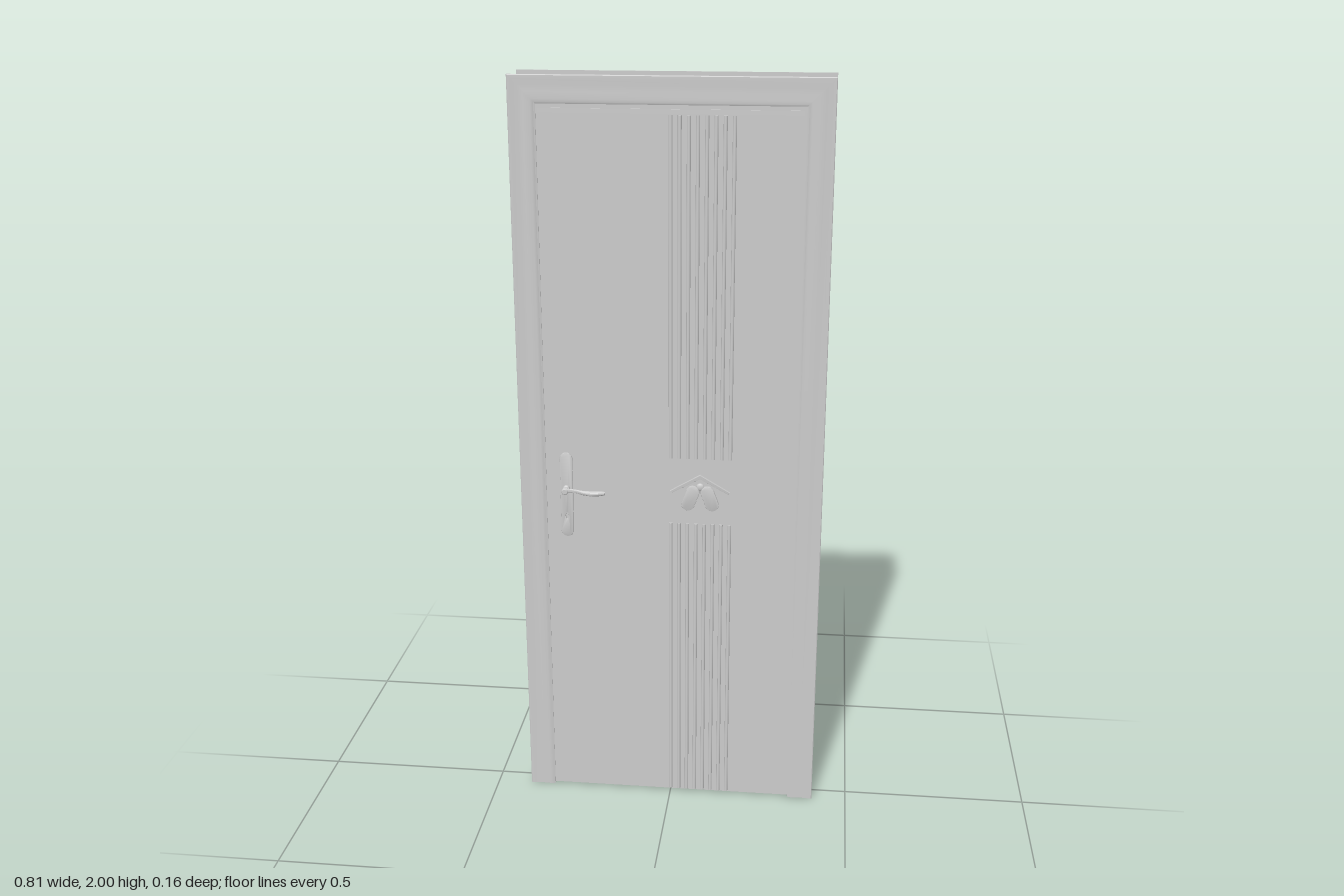
import * as THREE from 'three';
import { toCreasedNormals } from 'three/addons/utils/BufferGeometryUtils.js';

const grey = new THREE.MeshStandardMaterial({ color: 0xcccccc });
const HALF = 0.335, TOP = 1.93;      // clear opening of the frame
const BACK = 0.022, FRONT = 0.042;   // faces of the door leaf

function add(parent, name, geometry, x = 0, y = 0, z = 0) {
  const mesh = new THREE.Mesh(geometry, grey);
  mesh.name = name;
  mesh.position.set(x, y, z);
  parent.add(mesh);
  return mesh;
}

// Skin a row of equal rings and cap both ends; contour is the counter-clockwise 2D section.
function skin(rings, contour, crease = 0.6) {
  const n = contour.length, index = [];
  for (let i = 0; i < rings.length - 1; i++) {
    for (let j = 0; j < n; j++) {
      const a = i * n + j, b = i * n + (j + 1) % n;
      index.push(a, b, b + n, a, b + n, a + n);
    }
  }
  const end = (rings.length - 1) * n;
  for (const [a, b, c] of THREE.ShapeUtils.triangulateShape(contour, [])) {
    index.push(a, c, b, end + a, end + b, end + c);
  }
  const geometry = new THREE.BufferGeometry().setFromPoints(rings.flat());
  geometry.setIndex(index);
  return toCreasedNormals(geometry, crease);
}

// Sweep a profile of [distance outward from the opening, z] up, across and down, with mitred corners.
function surround(points) {
  const contour = points.map(([d, z]) => new THREE.Vector2(d, z));
  if (THREE.ShapeUtils.isClockWise(contour)) contour.reverse();
  const rings = [[-1, 0], [-1, 1], [1, 1], [1, 0]].map(([side, top]) =>
    contour.map(p => new THREE.Vector3(side * (HALF + p.x), top * (TOP + p.x), p.y)));
  return skin(rings, contour);
}

function extrude(shape, depth, bevel = 0) {
  return toCreasedNormals(new THREE.ExtrudeGeometry(shape, {
    depth: depth - bevel, bevelEnabled: bevel > 0, bevelSize: bevel, bevelOffset: -bevel,
    bevelThickness: bevel, bevelSegments: 2, curveSegments: 12
  }), 0.6);
}

// Capsule-shaped outline
function capsule(width, height) {
  const r = width / 2, h = height / 2 - r;
  const shape = new THREE.Shape();
  shape.absarc(0, h, r, 0, Math.PI, false);
  shape.absarc(0, -h, r, Math.PI, Math.PI * 2, false);
  shape.closePath();
  return shape;
}

// Lever handle with its plate; s = 1 for the front, -1 for the back (turned over about x)
function makeHandle(name, s) {
  const handle = new THREE.Group();
  handle.name = name;
  const plate = capsule(0.034, 0.24);
  const keyhole = new THREE.Path();
  keyhole.absellipse(0, -0.06 * s, 0.004, 0.009, 0, Math.PI * 2, true);
  plate.holes.push(keyhole);
  add(handle, 'handlePlate', extrude(plate, 0.005, 0.0015));
  // Turned neck
  const neck = new THREE.LatheGeometry([[0, 0.003], [0.009, 0.003], [0.009, 0.011], [0.006, 0.014],
    [0.006, 0.023], [0.009, 0.026], [0.009, 0.034], [0.007, 0.037], [0, 0.037]]
    .map(p => new THREE.Vector2(...p)), 20);
  add(handle, 'handleNeck', toCreasedNormals(neck, 0.6), 0, 0.02 * s, 0).rotation.x = Math.PI / 2;
  // Lever sections: x, y, half height, half depth
  const circle = Array.from({ length: 16 }, (_, i) =>
    new THREE.Vector2(Math.cos(i * Math.PI / 8), Math.sin(i * Math.PI / 8)));
  const rings = [[-0.004, 0.002, 0.008, 0.005], [0.012, 0.002, 0.006, 0.003], [0.03, 0.001, 0.005, 0.003],
    [0.05, -0.003, 0.006, 0.005], [0.07, -0.004, 0.007, 0.008], [0.09, -0.003, 0.007, 0.008],
    [0.102, -0.002, 0.006, 0.006], [0.108, -0.002, 0.004, 0.004]]
    .map(([x, y, h, d]) => circle.map(p => new THREE.Vector3(x, y * s + p.x * h, p.y * d)));
  add(handle, 'handleLever', skin(rings, circle, 0.9), 0, 0.02 * s, 0.03);
  handle.position.set(-0.28, 0.9, s > 0 ? FRONT : BACK);
  if (s < 0) handle.rotation.x = Math.PI;
  return handle;
}

export function createModel() {
  const door = new THREE.Group();
  door.name = 'door';

  // Door frame: jamb between two moulded casings
  const frame = new THREE.Group();
  frame.name = 'frame';
  door.add(frame);
  add(frame, 'jamb', surround([[-0.004, -0.074], [0.03, -0.074], [0.03, 0.041], [0, 0.041], [0, FRONT - 0.002],
    [-0.004, BACK]]));
  const casing = [[0, 0], [0, 0.003], [0.004, 0.005], [0.012, 0.006], [0.03, 0.0045], [0.045, 0.0045],
    [0.06, 0.006], [0.068, 0.006], [0.07, 0.004], [0.07, 0]];
  add(frame, 'frontCasing', surround(casing.map(([d, z]) => [d, 0.041 + z])));
  add(frame, 'backCasing', surround(casing.map(([d, z]) => [d, -0.074 - z])));

  // Leaf with a shallow bead along its top
  const leaf = new THREE.Group();
  leaf.name = 'leaf';
  door.add(leaf);
  add(leaf, 'leafPanel', new THREE.BoxGeometry(HALF * 2, TOP - 0.005, FRONT - BACK),
    0, TOP / 2 + 0.0025, (FRONT + BACK) / 2);
  add(leaf, 'topBead', new THREE.BoxGeometry(HALF * 2 - 0.01, 0.012, 0.003), 0, 1.914, FRONT + 0.001);

  // Half-round vertical ribs above and below the ornament
  for (const [bottom, top] of [[0.008, 0.83], [1.015, 1.906]]) {
    for (let i = 0; i < 8; i++) {
      const rib = new THREE.CylinderGeometry(0.005, 0.005, top - bottom, 12);
      add(leaf, 'rib', rib, 0.001 + i * 0.0226, (top + bottom) / 2, FRONT);
    }
    // Rib fixings showing at the back
    const y = bottom > 1 ? bottom + 0.004 : top - 0.004;
    for (let i = 0; i < 4; i++) {
      add(leaf, 'ribFixing', new THREE.BoxGeometry(0.01, 0.004, 0.002), 0.012 + i * 0.045, y, BACK);
    }
  }

  // Ornament: a gable over two leaning ovals
  const ornament = new THREE.Group();
  ornament.name = 'ornament';
  ornament.position.set(0.08, 0, FRONT);
  door.add(ornament);
  const gable = new THREE.Shape([[-0.08, 0.924], [-0.074, 0.919], [0, 0.96], [0.074, 0.919], [0.08, 0.924],
    [0, 0.971]].map(p => new THREE.Vector2(...p)));
  add(ornament, 'gable', extrude(gable, 0.006, 0.001));
  for (const side of [-1, 1]) {
    const oval = add(ornament, 'oval', extrude(capsule(0.036, 0.072), 0.006, 0.002), side * 0.026, 0.904, 0);
    oval.rotation.z = side * 0.35;
  }
  add(ornament, 'ornamentBead', new THREE.SphereGeometry(0.011, 16, 12), 0, 0.935, 0).scale.z = 0.5;

  door.add(makeHandle('frontHandle', 1), makeHandle('backHandle', -1));
  return door;
}
